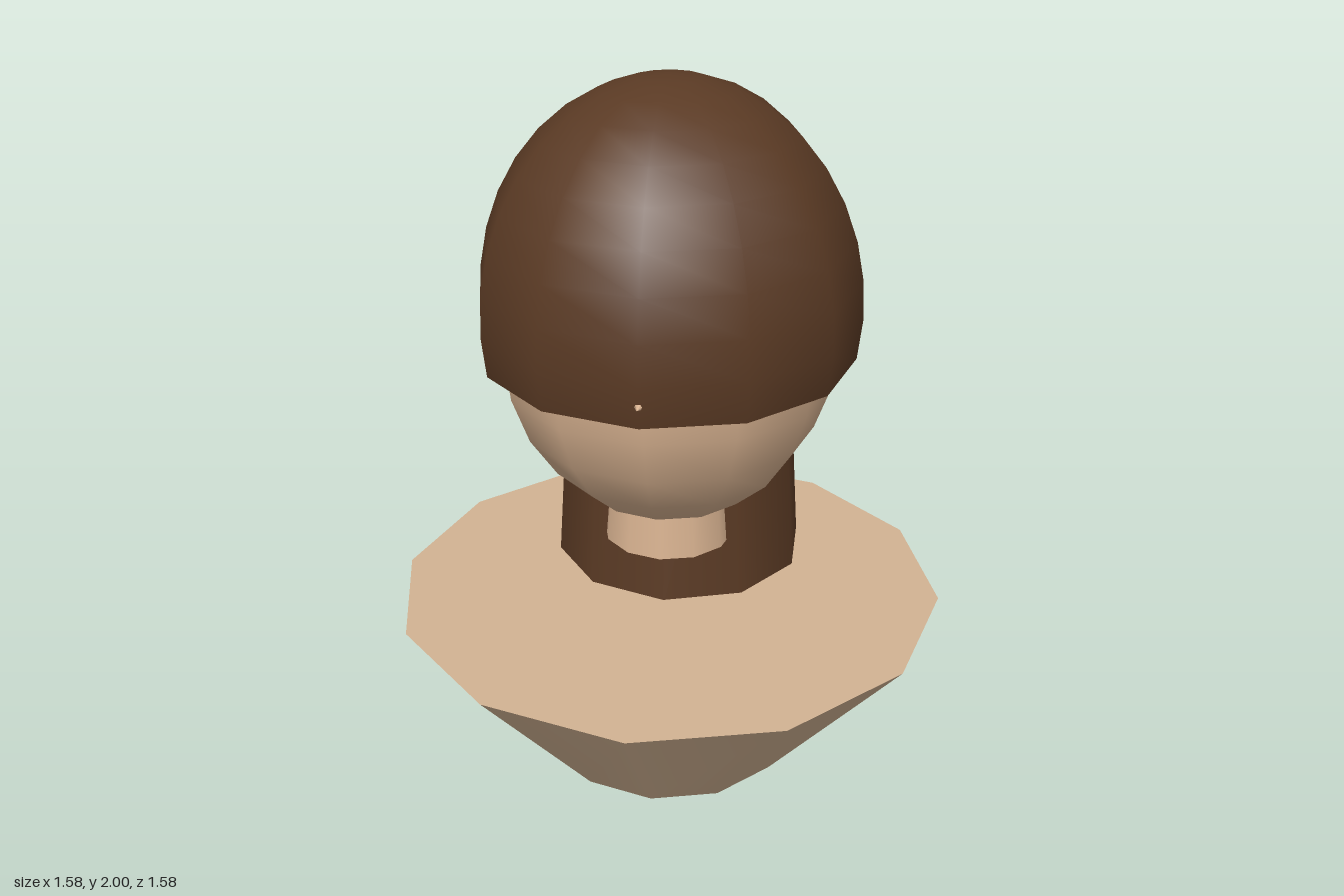
import * as THREE from 'three';

const material = (name, color, side = THREE.FrontSide) => {
  const m = new THREE.MeshStandardMaterial({ color, side });
  m.name = name;
  return m;
};

export function createModel() {
  const group = new THREE.Group();
  const skin = material('skin', 0xd9b391);
  const cloth = material('tan body', 0xd2b393);
  const hair = material('brown hair', 0x5a3a24, THREE.DoubleSide);

  const add = (name, geometry, mat, x, y, z) => {
    const mesh = new THREE.Mesh(geometry, mat);
    mesh.name = name;
    mesh.position.set(x, y, z);
    group.add(mesh);
    return mesh;
  };

  // Tapered cylinder standing between two heights
  const taper = (name, rTop, rBottom, y0, y1, sides, mat, z = 0) =>
    add(name, new THREE.CylinderGeometry(rTop, rBottom, y1 - y0, sides), mat, 0, (y0 + y1) / 2, z);

  // Shoulders, widening upward
  taper('bust', 0.79, 0.375, 0, 0.515, 12, cloth);

  // Short neck stub hanging under the head
  taper('neck', 0.165, 0.188, 0.69, 0.95, 12, skin);

  // Egg-shaped head
  add('head', new THREE.SphereGeometry(1, 12, 12), skin, 0, 1.31, 0).scale.set(0.47, 0.54, 0.47);

  // Small nose, its tip just breaking through the hair
  const nose = add('nose', new THREE.ConeGeometry(0.05, 0.12, 8), skin, 0, 1.31, 0.495);
  nose.rotation.x = Math.PI / 2;

  // Open hair cap, cut a little below its widest ring
  const cap = new THREE.SphereGeometry(1, 12, 10, 0, Math.PI * 2, 0, THREE.MathUtils.degToRad(102.1));
  add('hairCap', cap, hair, 0, 1.38, 0).scale.set(0.525, 0.62, 0.54);

  // Long hair down the back
  taper('backHair', 0.315, 0.377, 0.49, 1.4, 10, hair, -0.255);

  return group;
}
